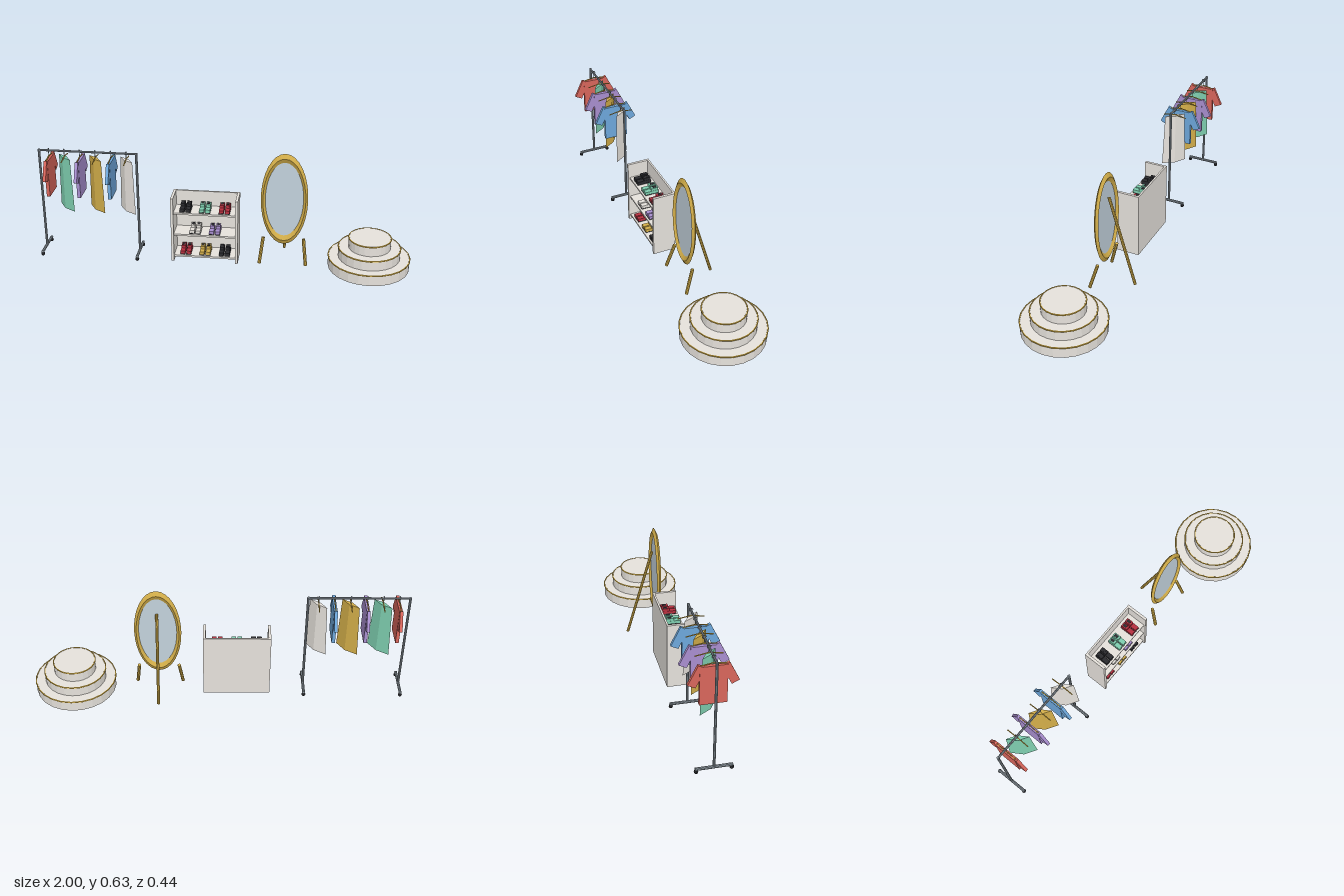
import * as THREE from 'three';

const mat = (name, color, extra = {}) => {
  const m = new THREE.MeshStandardMaterial({ color, flatShading: true, ...extra });
  m.name = name;
  return m;
};

export function createModel() {
  const steel = mat('steel', 0x8b959d);
  const black = mat('black', 0x2a2a2e);
  const white = mat('offWhite', 0xe6e2dc);
  const gold = mat('gold', 0xd4af4a);
  const red = mat('coralRed', 0xd9665c);
  const crimson = mat('crimson', 0xb83040);
  const green = mat('mint', 0x7fcfb0);
  const purple = mat('lavender', 0xa98fd0);
  const blue = mat('skyBlue', 0x6ea8dc);
  const glass = mat('mirrorGlass', 0xc3d2dc, { side: THREE.DoubleSide });

  const root = new THREE.Group();
  root.name = 'boutiqueSet';

  const group = (name, parent = root, x = 0) => {
    const g = new THREE.Group();
    g.name = name;
    g.position.x = x;
    parent.add(g);
    return g;
  };
  const add = (parent, name, geo, material, x = 0, y = 0, z = 0) => {
    const m = new THREE.Mesh(geo, material);
    m.name = name;
    m.position.set(x, y, z);
    parent.add(m);
    return m;
  };
  const box = (parent, name, material, w, h, d, x, y, z) =>
    add(parent, name, new THREE.BoxGeometry(w, h, d), material, x, y, z);
  // Round bar between two points
  const rod = (parent, name, material, a, b, r, sides = 8) => {
    const p = new THREE.Vector3(...a), q = new THREE.Vector3(...b);
    const dir = q.clone().sub(p);
    const m = add(parent, name, new THREE.CylinderGeometry(r, r, dir.length(), sides), material);
    m.position.copy(p.add(q).multiplyScalar(0.5));
    m.quaternion.setFromUnitVectors(new THREE.Vector3(0, 1, 0), dir.normalize());
    return m;
  };

  // Clothes rack: rail, posts, feet and wheels
  const rack = group('clothesRack');
  rod(rack, 'rail', steel, [-0.99, 0.59, 0], [-0.465, 0.59, 0], 0.006);
  for (const x of [-0.99, -0.465]) {
    rod(rack, 'post', steel, [x, 0.025, 0], [x, 0.595, 0], 0.007);
    rod(rack, 'foot', steel, [x, 0.025, -0.09], [x, 0.025, 0.09], 0.008);
    for (const z of [-0.085, 0.085])
      add(rack, 'wheel', new THREE.SphereGeometry(0.011, 8, 6), black, x, 0.011, z);
  }

  // Hanger with a hook over the rail
  const hanger = (g) => {
    rod(g, 'hangerWire', steel, [0, 0.558, 0], [0, 0.583, 0], 0.002, 6);
    const hook = add(g, 'hangerHook', new THREE.TorusGeometry(0.009, 0.002, 4, 10, Math.PI * 1.5), steel, 0, 0.592, 0);
    hook.rotation.set(0, Math.PI / 2, 0);
    hook.geometry.rotateZ(-Math.PI / 2);
    for (const s of [-1, 1])
      rod(g, 'hangerArm', gold, [0, 0.561, 0], [0, 0.55, s * 0.066], 0.003, 6);
  };

  // Shirts hang across the rail
  const shirt = (x, material) => {
    const g = group('shirt', rack, x);
    hanger(g);
    box(g, 'shirtBody', material, 0.018, 0.2, 0.13, 0, 0.449, 0);
    for (const s of [-1, 1]) {
      const sleeve = box(g, 'sleeve', material, 0.016, 0.109, 0.041, 0, 0.5005, s * 0.0775);
      sleeve.rotation.x = -s * 0.455;
    }
  };
  // Dresses are flattened four-sided cones turned on their hangers
  const dress = (x, material) => {
    const g = group('dress', rack, x);
    hanger(g);
    const geo = new THREE.CylinderGeometry(0.057, 0.071, 0.296, 4);
    geo.scale(1, 1, 0.23).rotateY(-Math.PI / 4);
    add(g, 'dressBody', geo, material, 0, 0.408, 0);
  };
  [red, purple, blue].forEach((m, i) => shirt(-0.938 + i * 0.167, m));
  [green, gold, white].forEach((m, i) => dress(-0.854 + i * 0.167, m));

  // Shoe shelf, open at the top and front
  const shelf = group('shoeShelf', root, -0.1);
  box(shelf, 'backPanel', white, 0.34, 0.37, 0.01, 0, 0.185, -0.058);
  for (const s of [-1, 1])
    box(shelf, 'sidePanel', white, 0.014, 0.37, 0.126, s * 0.173, 0.185, 0);
  const levels = [0.027, 0.154, 0.28];
  for (const y of levels)
    box(shelf, 'shelfBoard', white, 0.34, 0.01, 0.108, 0, y, 0);

  // Pairs of shoes with a raised heel part and a low toe
  const shoePair = (x, y, material) => {
    const g = group('shoePair', shelf, x);
    for (const s of [-1, 1]) {
      box(g, 'sole', black, 0.026, 0.004, 0.078, s * 0.016, y + 0.002, 0.005);
      box(g, 'toe', material, 0.025, 0.016, 0.076, s * 0.016, y + 0.012, 0.005);
      box(g, 'heel', material, 0.023, 0.016, 0.038, s * 0.016, y + 0.027, -0.012);
      box(g, 'opening', black, 0.014, 0.002, 0.022, s * 0.016, y + 0.0355, -0.014);
    }
  };
  [[crimson, gold, black], [white, purple], [black, green, crimson]].forEach((row, i) =>
    row.forEach((m, j) => shoePair((j - (row.length - 1) / 2) * 0.105, levels[i] + 0.005, m)));

  // Standing oval mirror with a diamond-section frame
  const mirror = group('standingMirror', root, 0.32);
  const frame = add(mirror, 'mirrorFrame', new THREE.TorusGeometry(0.113, 0.012, 4, 32), gold, 0, 0.368, 0);
  const pane = add(mirror, 'mirrorPane', new THREE.CircleGeometry(0.112, 32), glass, 0, 0.368, 0);
  frame.scale.y = pane.scale.y = 2.09;
  for (const s of [-1, 1])
    rod(mirror, 'frontLeg', gold, [s * 0.108, 0.142, 0], [s * 0.125, 0.002, 0.04], 0.009);
  rod(mirror, 'rearLeg', gold, [0, 0.493, -0.016], [0, 0.002, -0.16], 0.008);

  // Round stepped podium with gold trim
  const podium = group('podium', root, 0.78);
  [[0.217, 0, 0.06], [0.165, 0.06, 0.116], [0.112, 0.116, 0.172]].forEach(([r, y0, y1]) => {
    add(podium, 'step', new THREE.CylinderGeometry(r, r, y1 - y0, 24), white, 0, (y0 + y1) / 2, 0);
    const trim = new THREE.TorusGeometry(r, 0.004, 6, 24).rotateX(Math.PI / 2).rotateY(Math.PI / 2);
    add(podium, 'stepTrim', trim, gold, 0, y1 - 0.002, 0);
  });

  return root;
}
